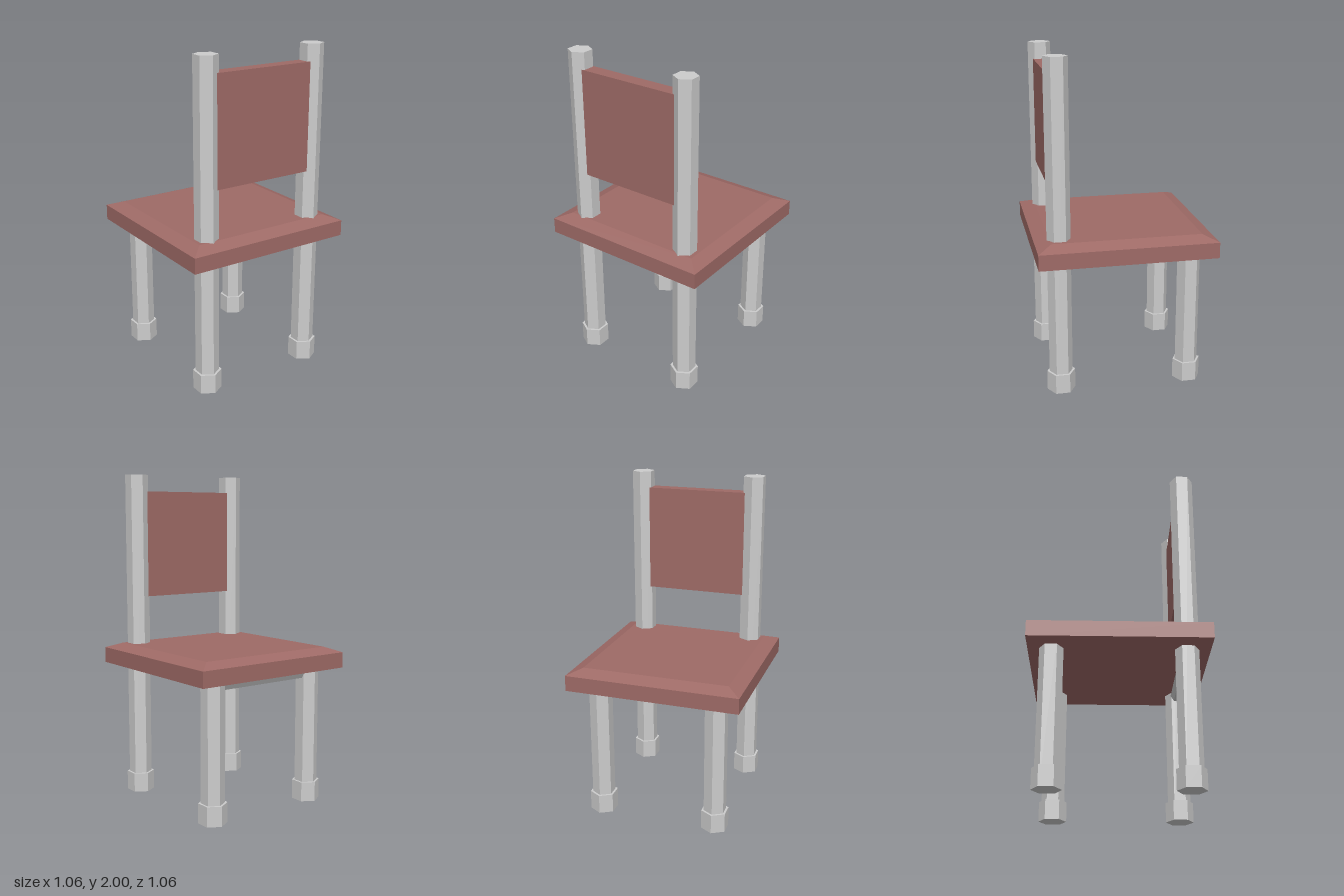
import * as THREE from 'three';

const grey = new THREE.MeshStandardMaterial({ color: 0xcccccc, flatShading: true });
const brown = new THREE.MeshStandardMaterial({ color: 0x9e6a66, flatShading: true });

const LEG_X = 0.362, LEG_Z = 0.39;

function add(parent, name, geometry, material, x, y, z) {
  const mesh = new THREE.Mesh(geometry, material);
  mesh.name = name;
  mesh.position.set(x, y, z);
  parent.add(mesh);
  return mesh;
}

// Upright six-sided prism from y0 to y1, with its points along z
function hexPost(parent, name, radius, y0, y1, x, z) {
  const geometry = new THREE.CylinderGeometry(radius, radius, y1 - y0, 6);
  return add(parent, name, geometry, grey, x, (y0 + y1) / 2, z);
}

// Square slab with vertical sides and a sloped bevel around the top
function seatGeometry(half, bottom, shoulder, top, topHalf) {
  const geometry = new THREE.BoxGeometry(2 * half, 2, 2 * half, 1, 2, 1);
  const p = geometry.attributes.position;
  for (let i = 0; i < p.count; i++) {
    const level = Math.round(p.getY(i)) + 1;
    const k = level === 2 ? topHalf / half : 1;
    p.setXYZ(i, p.getX(i) * k, [bottom, shoulder, top][level], p.getZ(i) * k);
  }
  geometry.computeVertexNormals();
  return geometry;
}

export function createModel() {
  const chair = new THREE.Group();
  chair.name = 'chair';

  add(chair, 'seat', seatGeometry(0.528, 0.83, 0.925, 0.957, 0.445), brown, 0, 0, 0);

  // Legs with feet; the pair at +z rises past the seat to hold the backrest
  for (const sz of [1, -1]) {
    for (const sx of [1, -1]) {
      const side = sx > 0 ? 'left' : 'right';
      const leg = new THREE.Group();
      leg.name = side + (sz > 0 ? 'BackrestLeg' : 'ShortLeg');
      hexPost(leg, 'post', 0.07, 0.01, sz > 0 ? 2 : 0.88, sx * LEG_X, sz * LEG_Z);
      hexPost(leg, 'foot', 0.085, 0, 0.12, sx * LEG_X, sz * LEG_Z);
      chair.add(leg);
    }
    // Hexagonal rail under the seat, joining the two legs
    const rail = add(chair, 'underSeatRail',
      new THREE.CylinderGeometry(0.04, 0.04, 2 * LEG_X - 0.04, 6), grey, 0, 0.809, sz * LEG_Z);
    rail.rotation.z = Math.PI / 2;
  }

  // Backrest panel between the tall posts
  add(chair, 'backrest', new THREE.BoxGeometry(0.66, 0.65, 0.085), brown, 0, 1.575, 0.392);

  return chair;
}
